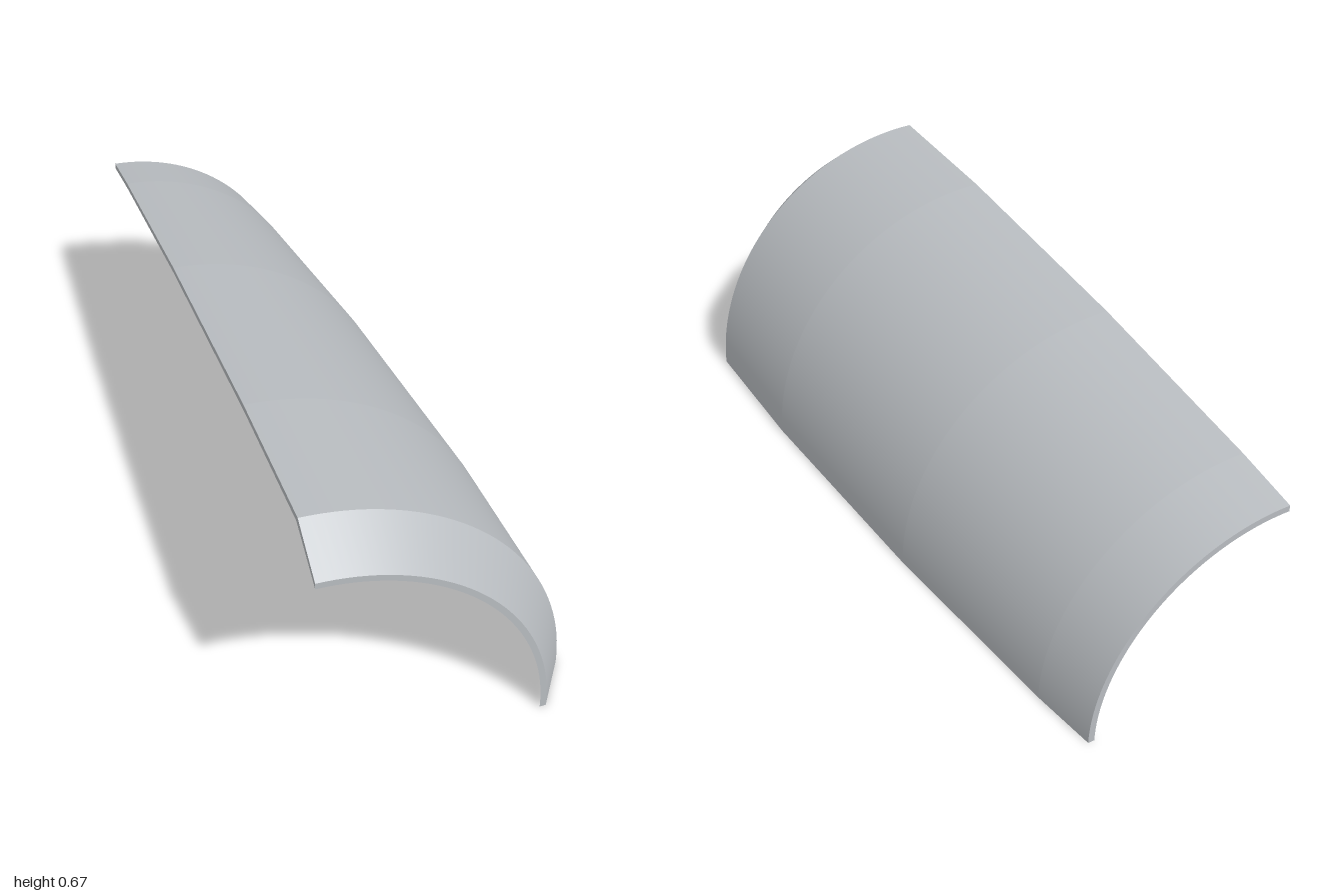
import * as THREE from 'three';
import { mergeGeometries } from 'three/addons/utils/BufferGeometryUtils.js';

// Closed wall section as [radius, z]: outer skin back to front, then inner skin front to back
const section = [
  [0.517, -1], [0.545, -0.82], [0.61, -0.23], [0.657, 0.46], [0.665, 0.88], [0.583, 1],
  [0.567, 1], [0.648, 0.87], [0.64, 0.46], [0.593, -0.23], [0.528, -0.82], [0.5, -1],
].map(([r, z]) => new THREE.Vector2(r, z));

export function createModel() {
  const group = new THREE.Group();
  group.name = 'quarterShell';
  const grey = new THREE.MeshStandardMaterial({ color: 0xb8bcc0, side: THREE.DoubleSide });
  grey.name = 'light grey';

  // One quarter-turn band per section edge: smooth around, creased along the length
  const bands = section.map((p, i) =>
    new THREE.LatheGeometry([p, section[(i + 1) % section.length]], 40, Math.PI / 2, Math.PI / 2));
  const shell = new THREE.Mesh(mergeGeometries(bands).rotateX(Math.PI / 2), grey);
  shell.name = 'curvedShell';
  shell.position.x = -0.333;
  group.add(shell);

  // Flat cut edges closing both ends of the quarter turn
  for (const [name, turn] of [['lowerCutEdge', 0], ['upperCutEdge', Math.PI / 2]]) {
    const cap = new THREE.ShapeGeometry(new THREE.Shape(section)).rotateX(Math.PI / 2).rotateZ(turn);
    const edge = new THREE.Mesh(cap, grey);
    edge.name = name;
    edge.position.x = -0.333;
    group.add(edge);
  }
  return group;
}
